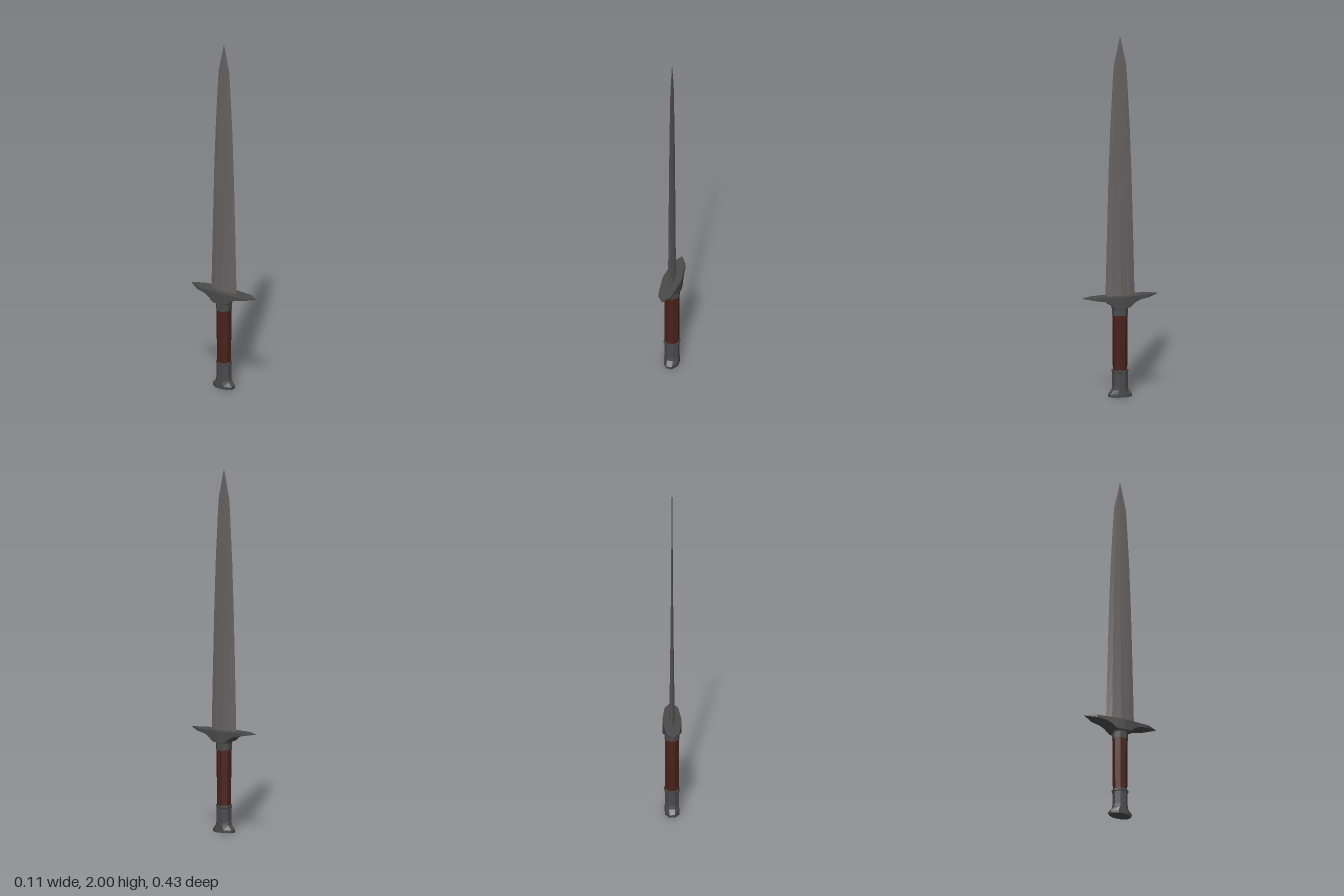
import * as THREE from 'three';

const material = (color) => new THREE.MeshStandardMaterial({ color, flatShading: true });

// Skins a list of equal-length rings (each counterclockwise along the path) and caps both ends
function loft(name, rings, mat) {
  const n = rings[0].length, last = (rings.length - 1) * n, index = [];
  for (let i = 0; i < rings.length - 1; i++) {
    for (let j = 0; j < n; j++) {
      const a = i * n + j, b = i * n + (j + 1) % n;
      index.push(a, b, b + n, a, b + n, a + n);
    }
  }
  for (let j = 1; j < n - 1; j++) {
    index.push(0, j + 1, j, last, last + j, last + j + 1);
  }
  const indexed = new THREE.BufferGeometry();
  indexed.setAttribute('position', new THREE.Float32BufferAttribute(rings.flat(2), 3));
  indexed.setIndex(index);
  const geometry = indexed.toNonIndexed();
  geometry.computeVertexNormals();
  const mesh = new THREE.Mesh(geometry, mat);
  mesh.name = name;
  return mesh;
}

// Eight-sided ring with half widths rx and rz
function octagon([y, rx, rz]) {
  const k = Math.cos(Math.PI / 8);
  return Array.from({ length: 8 }, (_, i) => {
    const a = (i + 0.5) * Math.PI / 4;
    return [Math.sin(a) * rx / k, y, Math.cos(a) * rz / k];
  });
}

// Blade section: sharp edges at both ends of z, gently swelling faces
function bladeRing([y, t, w]) {
  const half = [[0, 1], [0.62, 0.62], [1, 0], [0.62, -0.62]];
  return [...half, ...half.map(([x, z]) => [-x, -z])].map(([x, z]) => [x * t, y, z * w]);
}

// Guard section: a rectangle across x at one station along z
const guardRing = ([z, w, bottom, top]) => [[w, top, z], [-w, top, z], [-w, bottom, z], [w, bottom, z]];

export function createModel() {
  const group = new THREE.Group();
  group.name = 'dagger';
  const steel = material(0x686262);
  const iron = material(0x4a4a4a);
  const leather = material(0x48211a);

  // Blade: y, half thickness, half width
  group.add(loft('blade', [
    [0.55, 0.016, 0.085], [0.72, 0.013, 0.081], [0.95, 0.01, 0.075], [1.23, 0.007, 0.067],
    [1.49, 0.005, 0.057], [1.74, 0.003, 0.043], [1.84, 0.0025, 0.036], [2, 0.0003, 0.0005],
  ].map(bladeRing), steel));

  // Crossguard: z, half width, underside, top; mirrored about the middle
  const arm = [
    [0.216, 0.001, 0.556, 0.56], [0.155, 0.037, 0.546, 0.56], [0.1, 0.043, 0.537, 0.56],
    [0.07, 0.046, 0.523, 0.56], [0.052, 0.048, 0.507, 0.56], [0.036, 0.05, 0.498, 0.56],
  ];
  const back = arm.map(([z, ...rest]) => [-z, ...rest]);
  group.add(loft('crossguard', [...back, [0, 0.053, 0.498, 0.56], ...arm.reverse()].map(guardRing), iron));

  // Collar, grip and pommel: y, half width in x, half width in z
  group.add(loft('collar', [
    [0.453, 0.041, 0.041], [0.49, 0.041, 0.041], [0.5, 0.043, 0.046],
  ].map(octagon), iron));
  group.add(loft('grip', [
    [0.14, 0.037, 0.036], [0.32, 0.038, 0.038], [0.455, 0.038, 0.039],
  ].map(octagon), leather));
  group.add(loft('pommel', [
    [0, 0.039, 0.063], [0.015, 0.039, 0.064], [0.04, 0.039, 0.043], [0.06, 0.039, 0.039],
    [0.135, 0.039, 0.039], [0.138, 0.042, 0.042], [0.15, 0.042, 0.042],
  ].map(octagon), iron));

  return group;
}
